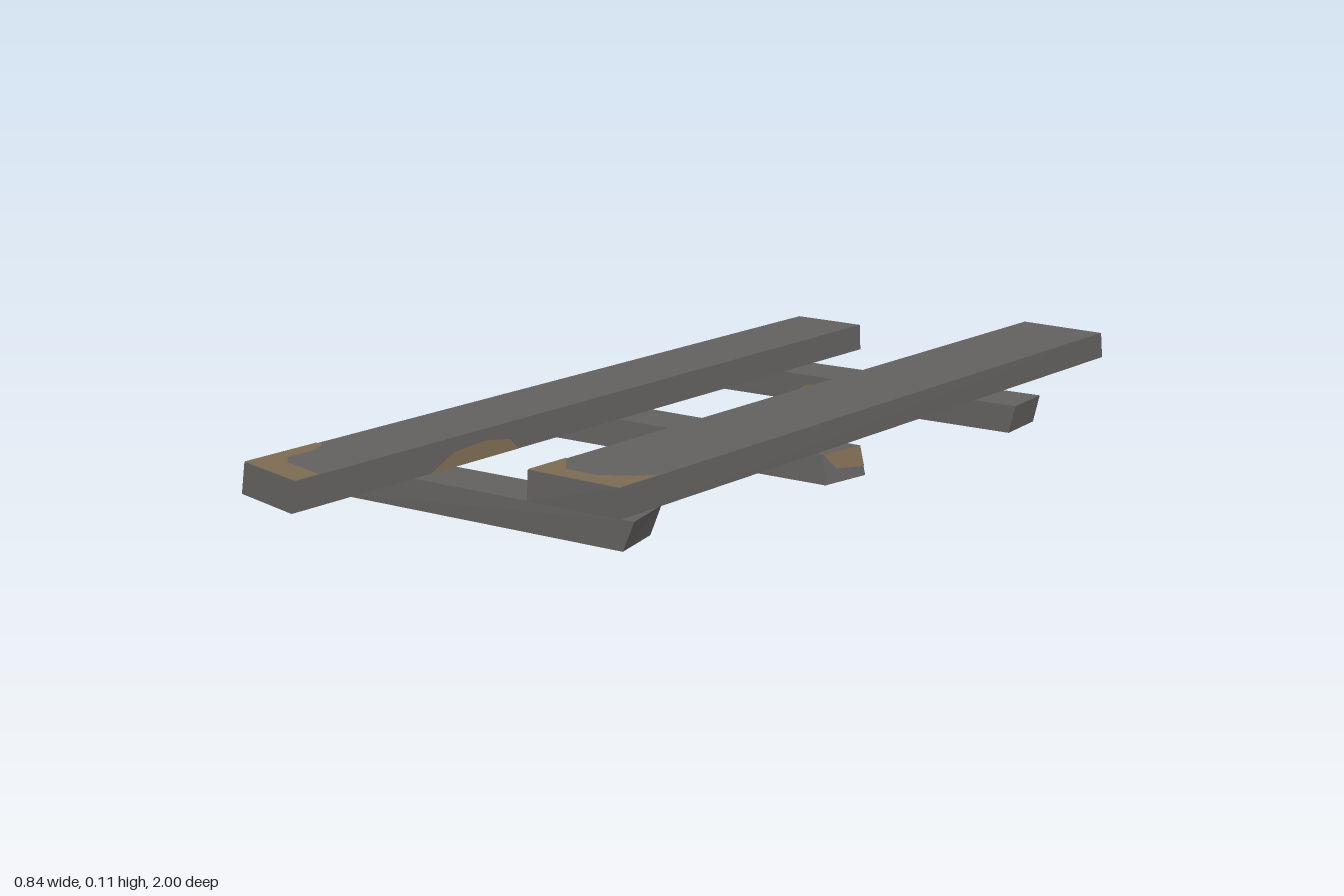
import * as THREE from 'three';

const wood = new THREE.MeshStandardMaterial({ color: 0x62605e, side: THREE.DoubleSide });
wood.name = 'weathered grey wood';
const bare = new THREE.MeshStandardMaterial({ color: 0x7d6b52, side: THREE.DoubleSide });
bare.name = 'bare tan wood';

// The five faces of a beam that is open underneath: front, right, back, left, top.
// Corners run front-left, front-right, back-right, back-left as seen from above.
function beamFaces(bottom, top, y0, y1) {
  const b = bottom.map(([x, z]) => new THREE.Vector3(x, y0, z));
  const t = top.map(([x, z]) => new THREE.Vector3(x, y1, z));
  const faces = [0, 1, 2, 3].map((i) => [b[i], b[(i + 1) % 4], t[(i + 1) % 4], t[i]]);
  faces.push(t);
  return faces;
}

function beamGeometry(faces) {
  const points = faces.flatMap(([a, b, c, d]) => [a, b, c, a, c, d]);
  const geometry = new THREE.BufferGeometry().setFromPoints(points);
  geometry.computeVertexNormals();
  return geometry;
}

// A worn patch: an outline in face coordinates (0..1), laid just off one side of the face
function patchGeometry([a, b, c, d], outline, offset) {
  const geometry = new THREE.ShapeGeometry(new THREE.Shape(outline.map(([u, v]) => new THREE.Vector2(u, v))));
  const normal = b.clone().sub(a).cross(d.clone().sub(a)).normalize();
  const pos = geometry.attributes.position;
  for (let i = 0; i < pos.count; i++) {
    const u = pos.getX(i), v = pos.getY(i);
    const p = a.clone().lerp(b, u).lerp(d.clone().lerp(c, u), v).addScaledVector(normal, offset);
    pos.setXYZ(i, p.x, p.y, p.z);
  }
  geometry.computeVertexNormals();
  return geometry;
}

const FRONT = 0, RIGHT = 1, BACK = 2, LEFT = 3, TOP = 4;

// Low, rounded-off patch along the lower edge of a side
const scuff = (u0, u1, h) => {
  const w = u1 - u0;
  return [[u0, 0], [u1, 0], [u1 - w * 0.12, h * 0.7], [u1 - w * 0.4, h], [u0 + w * 0.25, h * 0.85]];
};

const beams = [
  {
    name: 'leftPlank', y: [0.057, 0.113],
    top: [[-0.294, 0.96], [-0.125, 0.985], [-0.153, -0.714], [-0.317, -0.7]],
    bottom: [[-0.289, 0.973], [-0.12, 1], [-0.149, -0.712], [-0.316, -0.698]],
    worn: [
      [TOP, [[0, 0], [1, 0], [1, 0.033], [0.4, 0.034], [0.23, 0.045], [0.22, 0.085], [0.12, 0.105], [0, 0.105]]],
      [RIGHT, scuff(0.2, 0.34, 0.6)],
    ],
  },
  {
    name: 'rightPlank', y: [0.057, 0.113],
    top: [[0.136, 0.664], [0.343, 0.646], [0.312, -0.995], [0.114, -0.987]],
    bottom: [[0.141, 0.672], [0.348, 0.65], [0.314, -1], [0.115, -0.998]],
    worn: [
      [TOP, [[0, 0], [1, 0], [1, 0.065], [0.85, 0.045], [0.58, 0.025], [0.25, 0.025], [0, 0.062]]],
      [LEFT, scuff(0.65, 0.8, 0.6)],
    ],
  },
  {
    name: 'frontCrossbar', y: [0, 0.057],
    top: [[-0.3, 0.72], [0.375, 0.643], [0.343, 0.535], [-0.335, 0.615]],
    bottom: [[-0.328, 0.733], [0.355, 0.652], [0.325, 0.545], [-0.36, 0.622]],
    worn: [[TOP, [[0, 0.35], [0.08, 0.6], [0.08, 1], [0, 1]]]],
  },
  {
    name: 'middleCrossbar', y: [0, 0.057],
    top: [[-0.423, 0.155], [0.35, 0.072], [0.362, -0.03], [-0.41, 0.042]],
    bottom: [[-0.408, 0.166], [0.365, 0.082], [0.378, -0.028], [-0.396, 0.052]],
    worn: [
      [RIGHT, [[0.3, 0.45], [1, 0.3], [1, 1], [0, 1]]],
      [BACK, scuff(0.3, 0.46, 0.6)],
    ],
  },
  {
    name: 'backCrossbar', y: [0, 0.057],
    top: [[-0.29, -0.407], [0.42, -0.49], [0.406, -0.603], [-0.3, -0.515]],
    bottom: [[-0.312, -0.396], [0.41, -0.482], [0.396, -0.595], [-0.325, -0.508]],
    worn: [[FRONT, scuff(0.25, 0.45, 0.75)]],
  },
];

export function createModel() {
  const model = new THREE.Group();
  model.name = 'brokenFencePanel';
  for (const { name, y, top, bottom, worn } of beams) {
    const group = new THREE.Group();
    group.name = name;
    const faces = beamFaces(bottom, top, y[0], y[1]);
    const body = new THREE.Mesh(beamGeometry(faces), wood);
    body.name = name + 'Body';
    group.add(body);
    // Wear shows on the outside and on the hollow underside
    for (const [face, outline] of worn) {
      for (const offset of [0.0015, -0.0015]) {
        const patch = new THREE.Mesh(patchGeometry(faces[face], outline, offset), bare);
        patch.name = 'wornPatch';
        group.add(patch);
      }
    }
    model.add(group);
  }
  return model;
}
